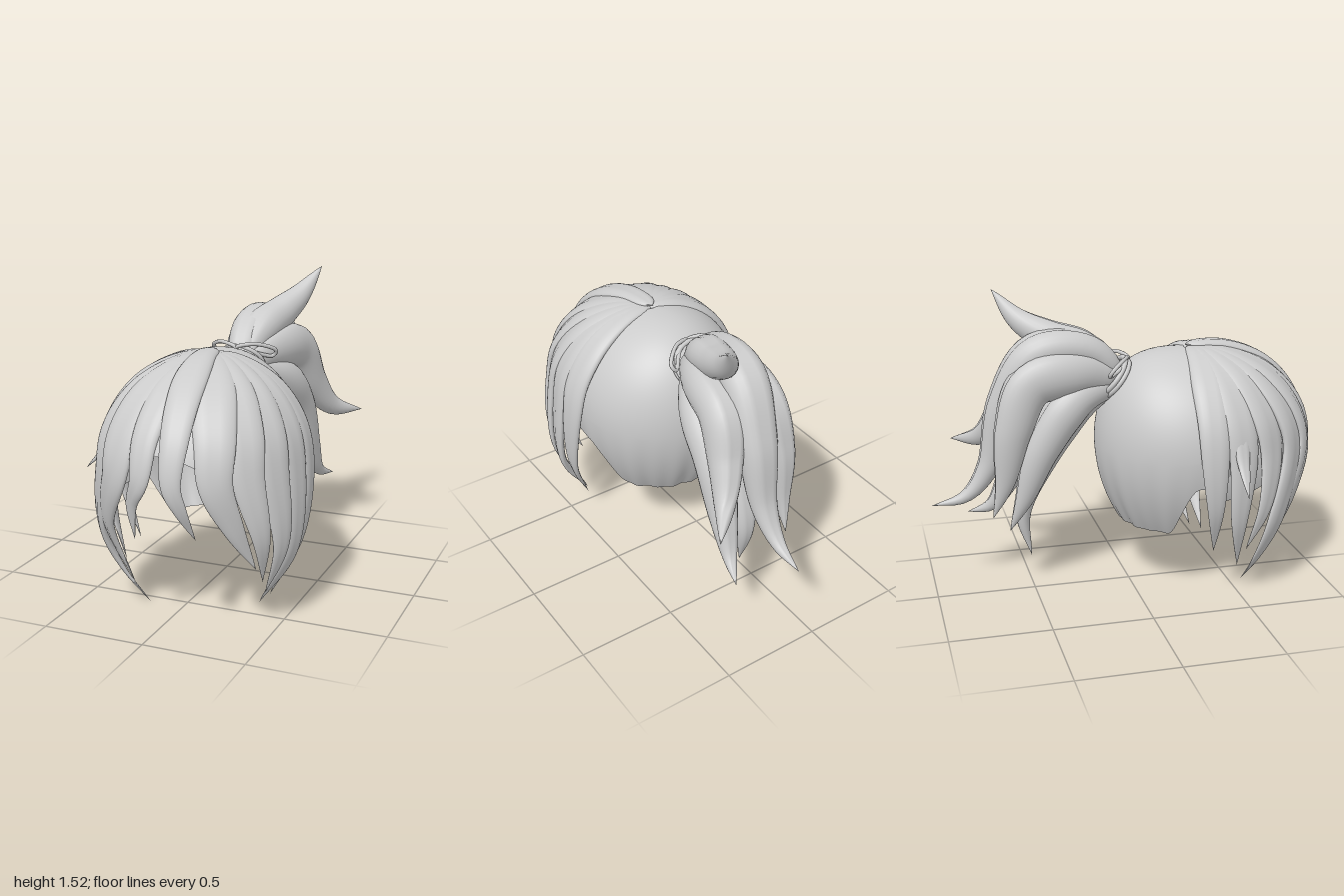
import * as THREE from 'three';
import { mergeVertices } from 'three/addons/utils/BufferGeometryUtils.js';

const V = (x, y, z) => new THREE.Vector3(x, y, z);
const rad = THREE.MathUtils.degToRad;
const smooth = THREE.MathUtils.smoothstep;
const hairMat = new THREE.MeshStandardMaterial({ color: 0xcccccc, roughness: 0.8, side: THREE.DoubleSide });

// Smooth surface from a rule f(u, v), u and v in 0..1
function grid(f, nu, nv) {
  const pos = [], idx = [];
  for (let i = 0; i <= nu; i++)
    for (let j = 0; j <= nv; j++) pos.push(...f(i / nu, j / nv).toArray());
  for (let i = 0; i < nu; i++)
    for (let j = 0; j < nv; j++) {
      const a = i * (nv + 1) + j, c = a + nv + 1;
      idx.push(a, c, a + 1, c, c + 1, a + 1);
    }
  let g = new THREE.BufferGeometry();
  g.setAttribute('position', new THREE.Float32BufferAttribute(pos, 3));
  g.setIndex(idx);
  g = mergeVertices(g, 1e-4);
  g.computeVertexNormals();
  return g;
}

// Tapered strand: grooved oval section swept along a curve; outward(p, t) gives its face direction
function strand(points, width, depth, outward, root) {
  const curve = new THREE.CatmullRomCurve3(points);
  return grid((u, v) => {
    const p = curve.getPointAt(u), t = curve.getTangentAt(u);
    const n = outward(p, t);
    n.addScaledVector(t, -n.dot(t)).normalize();
    const b = t.clone().cross(n);
    const end = Math.sqrt(Math.min(1, u / 0.06));
    const s = (root + (1 - root) * smooth(u, 0, 0.35)) * end * (1 - Math.pow(u, 2.8)) + 0.001;
    const a = (v % 1) * Math.PI * 2;
    const groove = 1 - 0.14 * Math.exp(-Math.pow((a - Math.PI / 2) / 0.25, 2));
    return p.addScaledVector(b, Math.cos(a) * width * s)
      .addScaledVector(n, Math.sin(a) * depth * s * groove);
  }, 40, 24);
}

// Face directions: away from the head's axis, and away from the ponytail's underside
const fromHead = (p) => V(p.x - 0.06, Math.max(0, p.y - 0.6), p.z - 0.35);
const fromTail = (p, t) => V(1, 0, 0).cross(t);

// Point on the front hair dome: azimuth from +z towards +x, polar angle from the top
function dome(az, pol, inset) {
  const a = rad(az), p = rad(pol);
  return V(0.06 + (0.51 - inset) * Math.sin(p) * Math.sin(a),
    0.72 + (0.53 - inset) * Math.cos(p),
    0.35 + (0.64 - inset) * Math.sin(p) * Math.cos(a));
}

export function createModel() {
  const model = new THREE.Group();
  const add = (name, geo, parent = model) => {
    const m = new THREE.Mesh(geo, hairMat);
    m.name = name;
    parent.add(m);
    return m;
  };
  const group = (name) => {
    const g = new THREE.Group();
    g.name = name;
    model.add(g);
    return g;
  };

  // Back cap, fuller towards the tie, with folds along its lower edge
  add('backCap', grid((u, v) => {
    const b = rad(-102 + 204 * v);
    const back = Math.max(0, Math.cos(b));
    const bottom = 0.335 + 0.27 * (1 - smooth(Math.cos(b), 0.08, 0.46));
    let y, r;
    if (u < 0.55) {
      const p = (u / 0.55) * Math.PI / 2;
      y = 0.75 + 0.475 * Math.cos(p);
      r = Math.pow(Math.sin(p), 1 - 0.3 * back * back);
    } else {
      y = THREE.MathUtils.lerp(0.75, bottom, (u - 0.55) / 0.45);
      const k = (0.75 - y) / 0.42;
      r = 1 - 0.28 * k * k;
      r += 0.02 * k * Math.cos(b * 17) * Math.cos(b * 5 + 1);
    }
    return V(0.05 - 0.445 * r * Math.sin(b), y, 0.3 - 0.46 * r * Math.cos(b));
  }, 36, 96));

  // Under layer of the front hair, closed all round at the crown
  add('frontShell', grid((u, v) => {
    const half = 94 + 86 * (1 - smooth(u, 0.04, 0.16));
    const az = half * (2 * v - 1);
    const low = 72 + 40 * Math.pow(Math.sin(rad(az)), 2);
    return dome(az, low * u, 0.035);
  }, 40, 56));

  // Fringe and side locks: azimuth, half width, inset, then the free lower points
  const locks = [
    ['fringeLock', 9, 0.085, 0.012, [0.17, 0.65, 0.95], [0.21, 0.49, 0.87]],
    ['fringeLock', -11, 0.085, 0.035, [-0.085, 0.63, 0.91], [-0.09, 0.45, 0.87]],
    ['fringeLock', 31, 0.11, 0.03, [0.37, 0.55, 0.82], [0.44, 0.33, 0.72]],
    ['fringeLock', -31, 0.11, 0.03, [-0.28, 0.48, 0.77], [-0.2, 0.14, 0.66]],
    ['leftLock', 48, 0.105, 0.03, [0.47, 0.48, 0.73], [0.45, 0.25, 0.66]],
    ['leftLock', 63, 0.105, 0.03, [0.52, 0.42, 0.61], [0.44, 0.17, 0.6]],
    ['leftLock', 78, 0.1, 0.03, [0.53, 0.36, 0.5], [0.38, 0.08, 0.52]],
    ['leftLock', 92, 0.09, 0.03, [0.53, 0.4, 0.38], [0.41, 0.1, 0.46]],
    ['rightLock', -46, 0.11, 0.03, [-0.36, 0.4, 0.67], [-0.29, 0.17, 0.6], [-0.17, 0.005, 0.56]],
    ['rightLock', -62, 0.105, 0.03, [-0.42, 0.5, 0.59], [-0.41, 0.28, 0.5]],
    ['rightLock', -78, 0.1, 0.03, [-0.42, 0.45, 0.46], [-0.34, 0.17, 0.48]],
    ['rightLock', -92, 0.09, 0.03, [-0.41, 0.5, 0.34], [-0.32, 0.25, 0.36]],
  ];
  const frontHair = group('frontHair');
  for (const [name, az, w, inset, ...ends] of locks) {
    const pts = [-4, 16, 40, 64, 86].map((pol) => dome(az, pol, inset));
    pts.push(...ends.map((e) => V(...e)));
    add(name, strand(pts, w, 0.036, fromHead, 0.6), frontHair);
  }
  // Loose wisp on the right side
  add('looseWisp', strand([V(-0.22, 1.03, 0.46), V(-0.37, 0.9, 0.46), V(-0.46, 0.73, 0.46), V(-0.57, 0.61, 0.45)],
    0.05, 0.025, fromHead, 0.5), frontHair);

  // Ponytail strands: half width, half depth, path
  const tail = [
    [0.12, 0.11, [0.05, 1.08, -0.03], [0.04, 1.24, -0.2], [0.06, 1.23, -0.46], [0.09, 0.98, -0.62], [0.1, 0.65, -0.71], [0.1, 0.5, -0.83], [0.11, 0.46, -1.0]],
    [0.11, 0.13, [0.06, 1.08, -0.04], [0.15, 1.14, -0.25], [0.2, 1.1, -0.48], [0.25, 0.9, -0.6], [0.33, 0.75, -0.71], [0.46, 0.7, -0.86]],
    [0.11, 0.11, [0.06, 1.07, -0.05], [0.17, 1.0, -0.26], [0.21, 0.82, -0.45], [0.24, 0.55, -0.58], [0.27, 0.38, -0.68], [0.32, 0.33, -0.8]],
    [0.1, 0.08, [0.05, 1.06, -0.06], [0.05, 0.92, -0.26], [0.06, 0.7, -0.42], [0.08, 0.4, -0.54], [0.08, 0.15, -0.5]],
    [0.1, 0.13, [0.04, 1.08, -0.04], [-0.02, 1.14, -0.27], [-0.03, 1.1, -0.5], [-0.05, 0.88, -0.6], [-0.05, 0.6, -0.65], [-0.04, 0.42, -0.71]],
    [0.1, 0.11, [0.04, 1.07, -0.05], [-0.02, 1.0, -0.28], [-0.03, 0.77, -0.45], [-0.02, 0.5, -0.55], [0, 0.33, -0.62]],
    [0.1, 0.1, [0.06, 1.1, -0.06], [0.09, 1.23, -0.2], [0.14, 1.3, -0.38], [0.2, 1.38, -0.52], [0.28, 1.52, -0.64]],
  ];
  const ponytail = group('ponytail');
  for (const [w, d, ...path] of tail)
    add('ponytailStrand', strand(path.map((p) => V(...p)), w, d, fromTail, 0.6), ponytail);

  // Hair tie: tilted band and two flat bow loops
  const tie = group('hairTie');
  for (const shift of [-0.012, 0.012]) {
    const axis = V(0, 0.61, -0.79);
    const band = add('tieBand', new THREE.TorusGeometry(0.112, 0.013, 10, 40), tie);
    band.quaternion.setFromUnitVectors(V(0, 0, 1), axis);
    band.position.set(0.05, 1.09, -0.07).addScaledVector(axis, shift);
  }
  for (const s of [-1, 1]) {
    const loop = [[0, 1.185, 0.01], [0.09, 1.2, -0.03], [0.17, 1.16, -0.11], [0.15, 1.13, -0.12], [0.07, 1.16, -0.03]];
    const path = new THREE.CatmullRomCurve3(loop.map(([x, y, z]) => V(0.05 + s * x, y, z)), true);
    add('bowLoop', new THREE.TubeGeometry(path, 40, 0.01, 8, true), tie);
  }
  return model;
}
